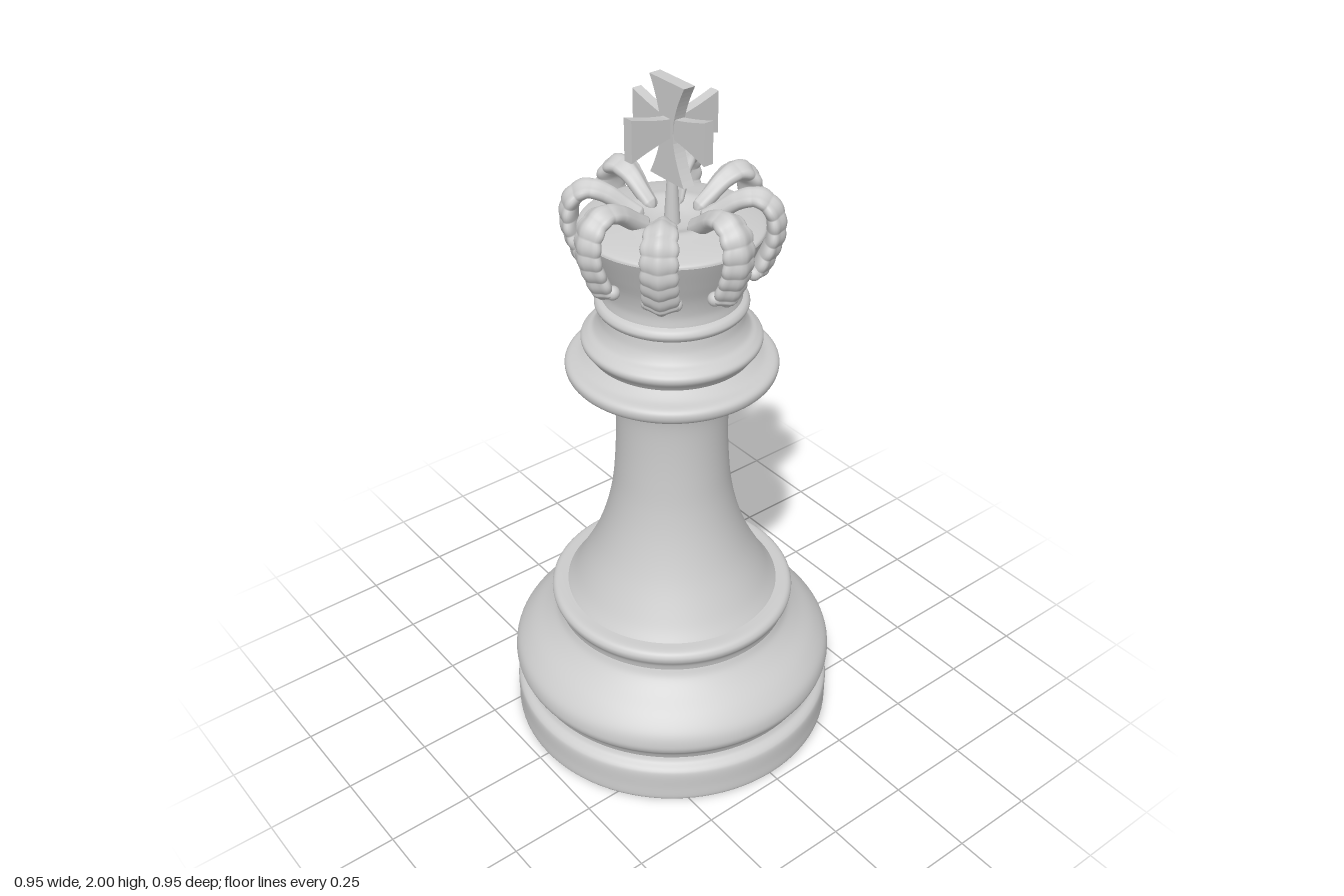
import * as THREE from 'three';
import { ParametricGeometry } from 'three/addons/geometries/ParametricGeometry.js';

const ivory = new THREE.MeshStandardMaterial({ color: 0xcccccc });
ivory.name = 'pale grey';

const vectors = (pts) => pts.map(([x, y]) => new THREE.Vector2(x, y));

function addMesh(parent, name, geometry) {
  const mesh = new THREE.Mesh(geometry, ivory);
  mesh.name = name;
  parent.add(mesh);
  return mesh;
}

// Turned section: a smooth spline through [radius, height] points, bottom to top
function turned(parent, name, pts, samples = pts.length * 5) {
  const profile = new THREE.SplineCurve(vectors(pts)).getPoints(samples);
  profile.forEach((p) => { p.x = Math.max(p.x, 0); });
  return addMesh(parent, name, new THREE.LatheGeometry(profile, 96));
}

// Beaded crown arch, swept in the xy plane with x pointing outwards
function archGeometry() {
  const path = new THREE.SplineCurve(vectors([
    [0.212, 1.475], [0.238, 1.53], [0.262, 1.6], [0.257, 1.665],
    [0.22, 1.7], [0.17, 1.69], [0.12, 1.655], [0.075, 1.625],
  ]));
  return new ParametricGeometry((u, v, target) => {
    const p = path.getPointAt(u);
    const t = path.getTangentAt(u);
    const a = v * Math.PI * 2;
    const end = Math.sqrt(Math.min(1, u * 14, (1 - u) * 25));
    const bead = Math.abs(Math.sin(u * Math.PI * 11)) * THREE.MathUtils.smoothstep(0.8 - u, 0, 0.3);
    const width = THREE.MathUtils.lerp(0.044, 0.02, THREE.MathUtils.smoothstep(u, 0.45, 1)) * end * (1 + 0.12 * bead);
    // Three lengthwise ridges on the outer side
    const ridge = Math.cos(a) > 0 ? 1 + 0.22 * Math.cos(a * 4) * Math.cos(a) + 0.15 * bead : 1;
    const depth = 0.022 * end * ridge * Math.cos(a);
    target.set(p.x + t.y * depth, p.y - t.x * depth, Math.sin(a) * width);
  }, 88, 24);
}

// Flared arm of the finial, pointing along +y from the centre
function armGeometry(length, endHalf, depth) {
  const shape = new THREE.Shape();
  shape.moveTo(-0.024, 0);
  shape.lineTo(0.024, 0);
  shape.lineTo(0.026, 0.025);
  shape.quadraticCurveTo(0.035, length * 0.55, endHalf, length);
  shape.lineTo(-endHalf, length);
  shape.quadraticCurveTo(-0.035, length * 0.55, -0.026, 0.025);
  shape.closePath();
  const geometry = new THREE.ExtrudeGeometry(shape, { depth, bevelEnabled: false, curveSegments: 8 });
  return geometry.translate(0, 0, -depth / 2);
}

export function createModel() {
  const king = new THREE.Group();
  king.name = 'chessKing';

  // Foot
  addMesh(king, 'underside', new THREE.CircleGeometry(0.468, 96).rotateX(Math.PI / 2));
  turned(king, 'footBand', [
    [0.468, 0], [0.475, 0.012], [0.475, 0.05], [0.475, 0.098], [0.468, 0.115], [0.45, 0.128], [0.442, 0.142],
  ]);
  turned(king, 'footBulge', [
    [0.442, 0.142], [0.452, 0.165], [0.47, 0.19], [0.475, 0.215], [0.465, 0.25], [0.43, 0.29],
    [0.38, 0.33], [0.35, 0.36], [0.338, 0.385],
  ]);
  turned(king, 'footRim', [
    [0.338, 0.385], [0.343, 0.405], [0.354, 0.425], [0.355, 0.442], [0.342, 0.455], [0.308, 0.457],
  ]);

  // Shaft
  turned(king, 'shaft', [
    [0.31, 0.455], [0.28, 0.5], [0.228, 0.6], [0.192, 0.7], [0.17, 0.8], [0.16, 0.9], [0.156, 1.0],
    [0.158, 1.08], [0.168, 1.13], [0.185, 1.157], [0.21, 1.168],
  ]);

  // Collars
  turned(king, 'wideCollar', [
    [0.2, 1.168], [0.25, 1.172], [0.282, 1.188], [0.29, 1.21], [0.28, 1.225], [0.25, 1.233], [0.222, 1.25],
  ]);
  turned(king, 'narrowCollar', [
    [0.222, 1.25], [0.23, 1.262], [0.243, 1.28], [0.243, 1.295], [0.228, 1.308], [0.21, 1.32],
    [0.196, 1.345], [0.19, 1.375],
  ]);
  turned(king, 'neckRing', [
    [0.19, 1.375], [0.2, 1.382], [0.206, 1.395], [0.2, 1.408], [0.187, 1.415],
  ]);

  // Crown
  turned(king, 'crownBody', [
    [0.187, 1.415], [0.185, 1.445], [0.195, 1.49], [0.215, 1.54], [0.236, 1.59], [0.245, 1.612],
  ]);
  turned(king, 'crownCap', [
    [0.245, 1.612], [0.238, 1.622], [0.2, 1.632], [0.15, 1.64], [0.115, 1.644], [0.085, 1.634],
    [0.05, 1.622], [0, 1.618],
  ]);

  const arch = archGeometry();
  const pearl = new THREE.SphereGeometry(0.019, 16, 12);
  for (let i = 0; i < 8; i++) {
    const rib = new THREE.Group();
    rib.name = 'crownArch';
    rib.rotation.y = i * Math.PI / 4;
    addMesh(rib, 'archBand', arch);
    // Three pearls at the foot of each arch
    for (const k of [-1, 0, 1]) {
      addMesh(rib, 'pearl', pearl).position.set(0.222 - 0.006 * Math.abs(k), 1.49 + 0.012 * Math.abs(k), k * 0.034);
    }
    king.add(rib);
  }

  // Finial
  addMesh(king, 'finialStem', new THREE.CylinderGeometry(0.013, 0.022, 0.14, 20)).position.y = 1.68;
  const finial = new THREE.Group();
  finial.name = 'finialCross';
  finial.position.y = 1.87;
  const upright = armGeometry(0.13, 0.068, 0.034);
  const sideArm = armGeometry(0.142, 0.056, 0.028);
  for (const s of [0, 1]) {
    addMesh(finial, 'uprightArm', upright).rotation.z = s * Math.PI;
    const side = addMesh(finial, 'sideArm', sideArm);
    side.position.y = 0.012;
    side.rotation.z = Math.PI / 2 + s * Math.PI;
    // Second pair of arms, running front to back with a slight twist
    const depthArm = new THREE.Group();
    depthArm.name = 'depthArm';
    depthArm.position.y = 0.012;
    depthArm.rotation.y = Math.PI / 2 + 0.06;
    addMesh(depthArm, 'depthArmPlate', sideArm).rotation.z = Math.PI / 2 + s * Math.PI;
    finial.add(depthArm);
  }
  king.add(finial);

  return king;
}
